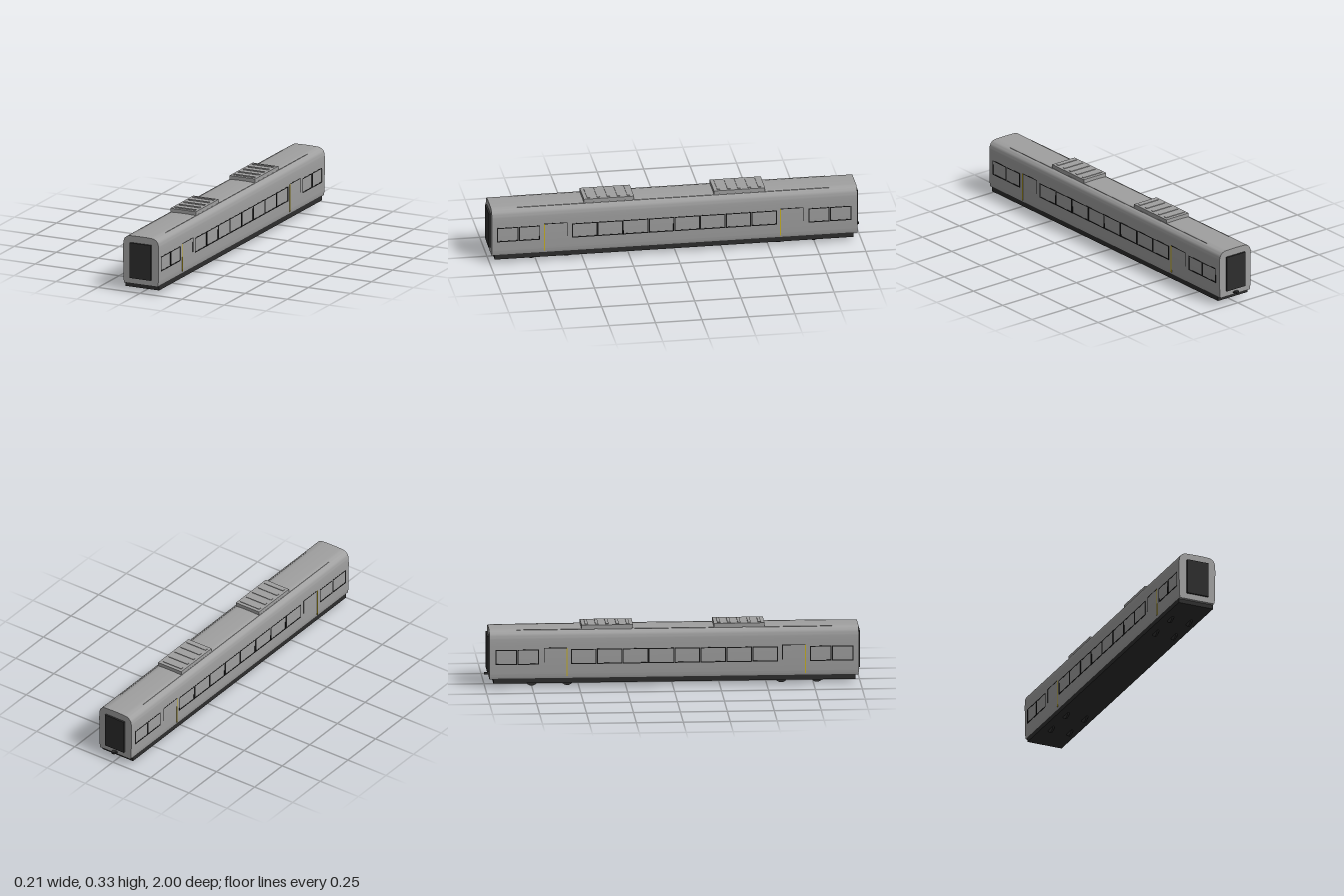
import * as THREE from 'three';
import { toCreasedNormals } from 'three/addons/utils/BufferGeometryUtils.js';

const material = (name, color) => {
  const m = new THREE.MeshStandardMaterial({ color });
  m.name = name;
  return m;
};

export function createModel() {
  const model = new THREE.Group();
  model.name = 'railwayCarriage';
  const silver = material('silver', 0xa0a0a0);
  const charcoal = material('charcoal', 0x2d2d2d);
  const black = material('black', 0x161616);
  const yellow = material('yellow', 0xc8b020);

  // Box given by its limits on each axis
  const box = (parent, name, mat, [x0, x1], [y0, y1], [z0, z1]) => {
    const mesh = new THREE.Mesh(new THREE.BoxGeometry(x1 - x0, y1 - y0, z1 - z0), mat);
    mesh.position.set((x0 + x1) / 2, (y0 + y1) / 2, (z0 + z1) / 2);
    mesh.name = name;
    parent.add(mesh);
    return mesh;
  };

  // Body shell: rounded cross-section extruded along the length
  const front = 0.99, back = -0.977;
  const section = new THREE.Shape();
  section.moveTo(-0.099, 0.045);
  section.lineTo(0.099, 0.045);
  section.quadraticCurveTo(0.103, 0.058, 0.104, 0.08);
  section.lineTo(0.106, 0.235);
  section.lineTo(0.105, 0.262);
  section.bezierCurveTo(0.104, 0.287, 0.094, 0.303, 0.07, 0.308);
  section.quadraticCurveTo(0, 0.312, -0.07, 0.308);
  section.bezierCurveTo(-0.094, 0.303, -0.104, 0.287, -0.105, 0.262);
  section.lineTo(-0.106, 0.235);
  section.lineTo(-0.104, 0.08);
  section.quadraticCurveTo(-0.103, 0.058, -0.099, 0.045);
  const shell = new THREE.ExtrudeGeometry(section, { depth: front - back, bevelEnabled: false, curveSegments: 8 });
  const body = new THREE.Mesh(toCreasedNormals(shell, 0.6), silver);
  body.position.z = back;
  body.name = 'bodyShell';
  model.add(body);

  // Underframe, end doors and rear coupler
  box(model, 'underframe', charcoal, [-0.1, 0.1], [0.022, 0.05], [-0.956, 0.974]);
  box(model, 'frontEndDoor', charcoal, [-0.062, 0.062], [0.077, 0.272], [front - 0.005, 1]);
  box(model, 'rearEndDoor', charcoal, [-0.062, 0.062], [0.077, 0.272], [-0.987, back + 0.005]);
  box(model, 'coupler', charcoal, [-0.008, 0.008], [0.052, 0.063], [-1, -0.95]);
  box(model, 'couplerHead', charcoal, [-0.015, 0.015], [0.054, 0.061], [-0.993, -0.97]);

  // Wheels
  const wheelGeometry = new THREE.CylinderGeometry(0.034, 0.034, 0.01, 24).rotateZ(Math.PI / 2);
  for (const z of [0.77, 0.58, -0.56, -0.75]) {
    for (const side of [1, -1]) {
      const wheel = new THREE.Mesh(wheelGeometry, charcoal);
      wheel.position.set(side * 0.054, 0.034, z);
      wheel.name = 'wheel';
      model.add(wheel);
    }
  }

  // Roof units with cross slats
  for (const [z0, z1] of [[0.22, 0.49], [-0.485, -0.21]]) {
    const unit = new THREE.Group();
    unit.name = 'roofUnit';
    box(unit, 'roofUnitCase', silver, [-0.076, 0.076], [0.3, 0.329], [z0, z1]);
    for (let i = 0; i < 5; i++) {
      const z = z0 + (z1 - z0) * (i + 0.5) / 5;
      box(unit, 'roofSlat', silver, [-0.062, 0.062], [0.327, 0.332], [z - 0.008, z + 0.008]);
    }
    model.add(unit);
  }

  // Window openings as [z0, z1]
  const windows = [[0.848, 0.962], [0.73, 0.844], [-0.827, -0.713], [-0.944, -0.83]];
  for (let i = 0; i < 8; i++) {
    const z = -0.544 + i * 0.138;
    windows.push([z + 0.001, z + 0.137]);
  }

  // Side details, repeated on both sides
  const t = 0.005;
  for (const side of [1, -1]) {
    const wall = new THREE.Group();
    wall.name = side > 0 ? 'leftSide' : 'rightSide';
    const x = side > 0 ? [0.103, 0.1064] : [-0.1064, -0.103];
    const bar = (name, mat, y, z) => box(wall, name, mat, x, y, z);

    for (const [z0, z1] of windows) {
      bar('windowFrameTop', black, [0.206 - t, 0.206], [z0, z1]);
      bar('windowFrameBottom', black, [0.124, 0.124 + t], [z0, z1]);
      bar('windowFrameRear', black, [0.124, 0.206], [z0, z0 + t]);
      bar('windowFrameFront', black, [0.124, 0.206], [z1 - t, z1]);
    }

    // Passenger doors: seal above, short rear seal and yellow front edge
    for (const [z0, z1] of [[0.582, 0.707], [-0.687, -0.563]]) {
      bar('doorTopSeal', black, [0.211, 0.215], [z0, z1]);
      bar('doorRearSeal', black, [0.135, 0.215], [z0, z0 + 0.004]);
      bar('doorYellowEdge', yellow, [0.06, 0.213], [z1 - 0.003, z1 + 0.002]);
    }

    // Rain strip along the roof edge
    const strip = side > 0 ? [0.074, 0.077] : [-0.077, -0.074];
    box(wall, 'rainStrip', silver, strip, [0.3, 0.3085], [-0.83, 0.85]);
    model.add(wall);
  }

  return model;
}
